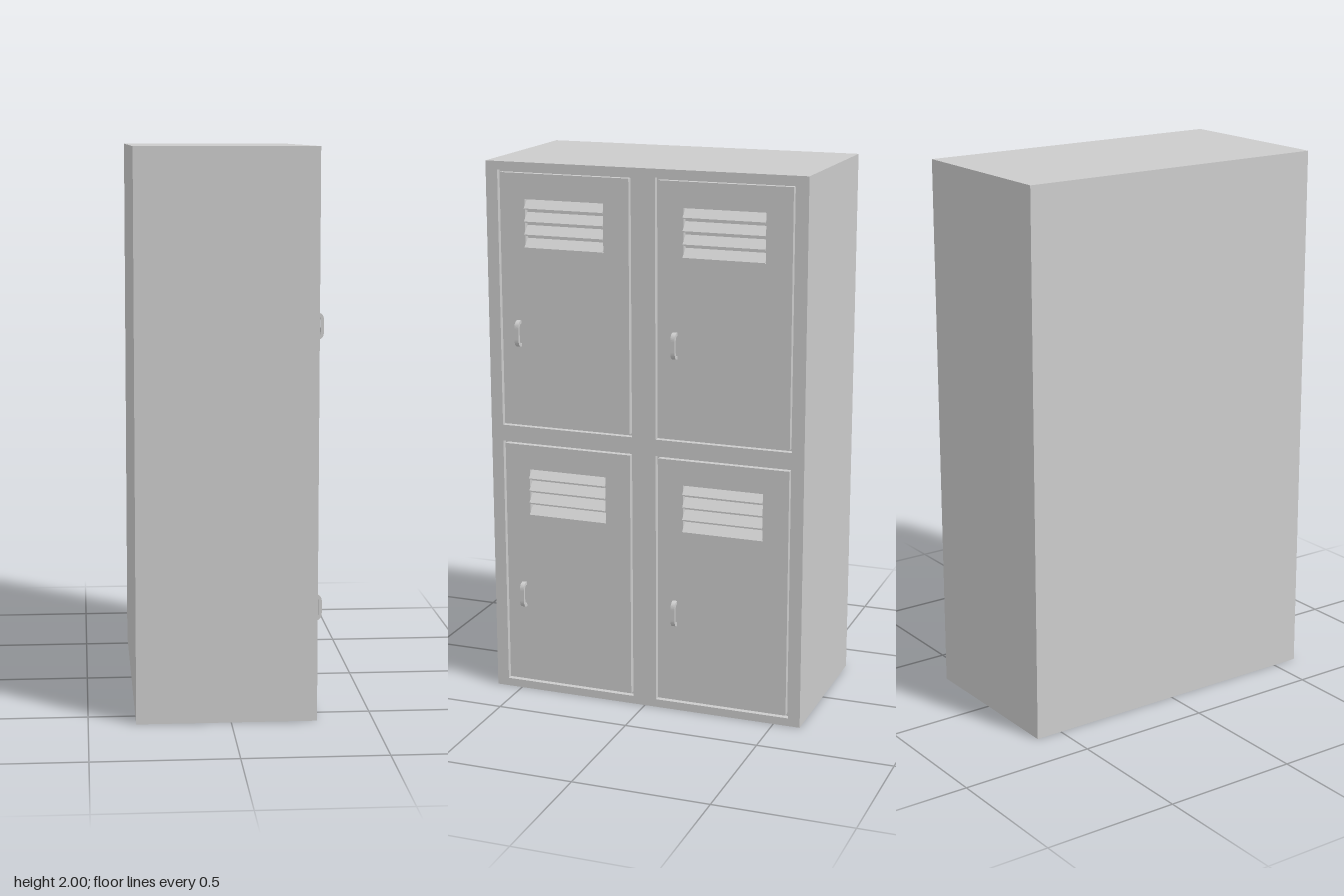
import * as THREE from 'three';

const FACE = 0.302;   // front plane of frame and doors
const BACK = -0.333;
const DEPTH = 0.022;  // thickness of frame and doors
const GAP = 0.009;    // groove around each door
const material = new THREE.MeshStandardMaterial({ color: 0xcccccc });

function rect(target, x0, y0, x1, y1) {
  target.moveTo(x0, y0);
  target.lineTo(x1, y0);
  target.lineTo(x1, y1);
  target.lineTo(x0, y1);
  target.closePath();
  return target;
}

function add(parent, name, geometry, x = 0, y = 0, z = 0) {
  const mesh = new THREE.Mesh(geometry, material);
  mesh.name = name;
  mesh.position.set(x, y, z);
  parent.add(mesh);
  return mesh;
}

const extrude = (shape, depth) =>
  new THREE.ExtrudeGeometry(shape, { depth, bevelEnabled: false, curveSegments: 8 });

// C-shaped pull: profile in depth/height, extruded across its width
function handleGeometry() {
  const s = new THREE.Shape();
  s.moveTo(-0.002, -0.048);
  s.lineTo(0.008, -0.048);
  s.quadraticCurveTo(0.028, -0.044, 0.028, -0.02);
  s.lineTo(0.028, 0.02);
  s.quadraticCurveTo(0.028, 0.044, 0.008, 0.048);
  s.lineTo(-0.002, 0.048);
  s.lineTo(-0.002, 0.036);
  s.lineTo(0.006, 0.036);
  s.quadraticCurveTo(0.017, 0.034, 0.017, 0.018);
  s.lineTo(0.017, -0.018);
  s.quadraticCurveTo(0.017, -0.034, 0.006, -0.036);
  s.lineTo(-0.002, -0.036);
  s.closePath();
  const g = extrude(s, 0.016);
  g.translate(0, 0, -0.008);
  g.rotateY(-Math.PI / 2);
  return g;
}

// Louver slat: thin plate sloping outward and down
function slatGeometry() {
  const s = new THREE.Shape();
  s.moveTo(-0.024, 0.036);
  s.lineTo(0.01, 0.004);
  s.lineTo(0.01, 0);
  s.lineTo(0.007, 0);
  s.lineTo(-0.024, 0.03);
  s.closePath();
  const g = extrude(s, 0.3);
  g.translate(0, 0, -0.15);
  g.rotateY(-Math.PI / 2);
  return g;
}

export function createModel() {
  const model = new THREE.Group();
  model.name = 'lockerCabinet';

  // Built with doors toward +z, then turned so they face +x
  const cabinet = new THREE.Group();
  cabinet.name = 'cabinet';
  cabinet.rotation.y = Math.PI / 2;
  model.add(cabinet);

  // Cabinet body
  const bodyDepth = FACE - DEPTH - BACK;
  add(cabinet, 'body', new THREE.BoxGeometry(1.2, 2, bodyDepth), 0, 1, BACK + bodyDepth / 2);

  // Front frame with four door openings
  const frame = rect(new THREE.Shape(), -0.6, 0, 0.6, 2);
  const centres = [];
  for (const y of [0.5, 1.5]) for (const x of [-0.3, 0.3]) centres.push([x, y]);
  for (const [x, y] of centres) {
    frame.holes.push(rect(new THREE.Path(), x - 0.255, y - 0.47, x + 0.255, y + 0.47));
  }
  add(cabinet, 'frontFrame', extrude(frame, DEPTH), 0, 0, FACE - DEPTH);

  // Doors with a louvered vent and a handle
  const doorShape = rect(new THREE.Shape(), -0.255 + GAP, -0.47 + GAP, 0.255 - GAP, 0.47 - GAP);
  doorShape.holes.push(rect(new THREE.Path(), -0.15, 0.193, 0.15, 0.369));
  const panel = extrude(doorShape, DEPTH);
  const slat = slatGeometry();
  const handle = handleGeometry();
  for (const [x, y] of centres) {
    const door = new THREE.Group();
    door.name = 'door';
    door.position.set(x, y, FACE);
    cabinet.add(door);
    add(door, 'doorPanel', panel, 0, 0, -DEPTH);
    for (let i = 0; i < 4; i++) add(door, 'ventSlat', slat, 0, 0.193 + i * 0.0467, 0);
    add(door, 'handle', handle, -0.18, -0.12, 0);
  }
  return model;
}
